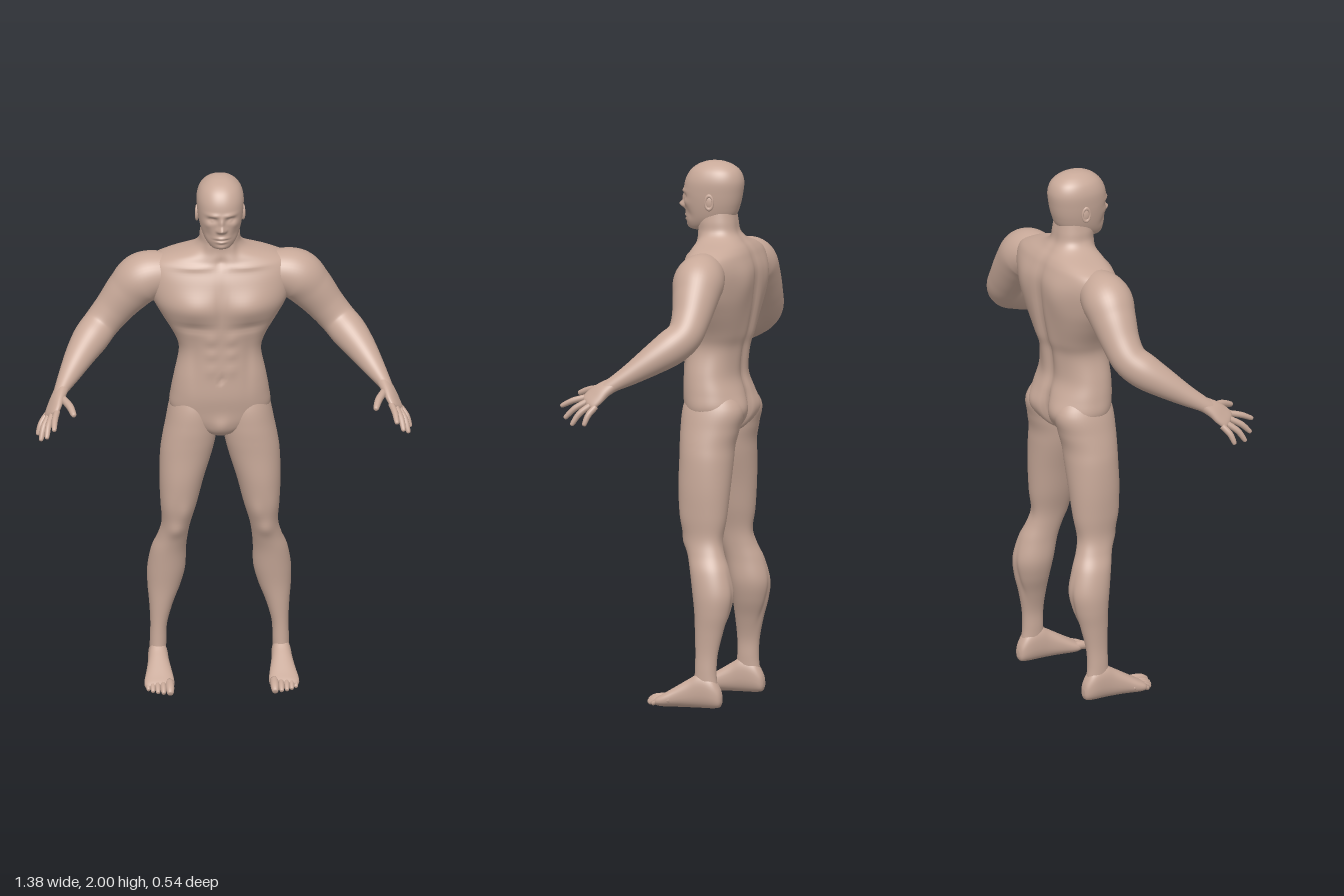
import * as THREE from 'three';

const skin = new THREE.MeshStandardMaterial({ color: 0xc8a999 });
skin.name = 'skin';

// Catmull-Rom interpolation through rows of numbers
function sample(keys, steps) {
  const rows = [], last = keys.length - 1;
  for (let i = 0; i <= last * steps; i++) {
    const k = Math.min(Math.floor(i / steps), last - 1), t = i / steps - k;
    const [a, b, c, d] = [-1, 0, 1, 2].map((o) => keys[Math.min(last, Math.max(0, k + o))]);
    rows.push(b.map((v, j) => v + 0.5 * t * (c[j] - a[j] +
      t * (2 * a[j] - 5 * v + 4 * c[j] - d[j] + t * (3 * (v - c[j]) + d[j] - a[j])))));
  }
  return rows;
}

// Closed smooth surface through rings of points, always wound outwards
function skinRings(rings) {
  const n = rings[0].length, pos = [], idx = [];
  rings.forEach((r) => r.forEach((p) => pos.push(p.x, p.y, p.z)));
  for (let i = 0; i < rings.length - 1; i++) {
    for (let j = 0; j < n; j++) {
      const a = i * n + j, b = i * n + (j + 1) % n;
      idx.push(a, b, a + n, b, b + n, a + n);
    }
  }
  [0, rings.length - 1].forEach((i) => {
    const mid = rings[i].reduce((s, p) => s.add(p), new THREE.Vector3()).divideScalar(n);
    const m = pos.length / 3;
    pos.push(mid.x, mid.y, mid.z);
    for (let j = 0; j < n; j++) {
      const a = i * n + j, b = i * n + (j + 1) % n;
      if (i === 0) idx.push(m, b, a); else idx.push(m, a, b);
    }
  });
  let volume = 0;
  const v = (i) => new THREE.Vector3().fromArray(pos, idx[i] * 3);
  for (let i = 0; i < idx.length; i += 3) volume += v(i).dot(v(i + 1).cross(v(i + 2)));
  if (volume < 0) idx.reverse();
  const g = new THREE.BufferGeometry();
  g.setAttribute('position', new THREE.Float32BufferAttribute(pos, 3));
  g.setIndex(idx);
  g.computeVertexNormals();
  return g;
}

// Rounded cross-section: [cos, sin] pushed towards a box by the power p
function outline(seg, p) {
  const f = (c) => Math.sign(c) * Math.abs(c) ** (2 / p);
  return Array.from({ length: seg }, (_, j) => {
    const a = (j / seg) * Math.PI * 2;
    return [f(Math.cos(a)), f(Math.sin(a))];
  });
}

// Sum of soft muscle bumps [x, y, width, height, amount], mirrored in x
const relief = (bumps, x, y) => bumps.reduce((s, [bx, by, rx, ry, h]) =>
  s + h * Math.exp(-(((Math.abs(x) - bx) / rx) ** 2) - ((y - by) / ry) ** 2), 0);

// Horizontal sections: [y, xMin, xMax, zFront, zBack]
function stack(keys, { seg = 64, steps = 6, p = 2.2, front = [], back = [], side = 1 } = {}) {
  const shape = outline(seg, p);
  return skinRings(sample(keys, steps).map(([y, x0, x1, zf, zb]) => shape.map(([c, s]) => {
    const x = (x0 + x1) / 2 + c * (x1 - x0) / 2;
    const w = Math.min(1, 2 * Math.abs(s));
    const push = s > 0 ? relief(front, x, y) : -relief(back, x, y);
    return new THREE.Vector3(x * side, y, (zf + zb) / 2 + s * (zf - zb) / 2 + push * w);
  })));
}

// Limb along a path: [x, y, z, radius along ref, other radius]
function limb(keys, { ref = [0, 0, 1], seg = 28, steps = 5, p = 2, side = 1 } = {}) {
  const rows = sample(keys.map((k) => (k.length < 5 ? [...k, k[3]] : k)), steps);
  const at = (i) => new THREE.Vector3(...rows[Math.min(rows.length - 1, Math.max(0, i))].slice(0, 3));
  const shape = outline(seg, p);
  return skinRings(rows.map(([, , , r, q], i) => {
    const t = at(i + 1).sub(at(i - 1)).normalize();
    const u = new THREE.Vector3(...ref);
    u.addScaledVector(t, -u.dot(t)).normalize();
    const v = t.clone().cross(u);
    return shape.map(([c, s]) => {
      const pt = at(i).addScaledVector(u, c * r).addScaledVector(v, s * q);
      pt.x *= side;
      return pt;
    });
  }));
}

function add(parent, name, geometry) {
  const m = new THREE.Mesh(geometry, skin);
  m.name = name;
  parent.add(m);
  return m;
}

// Finger or toe from a base to a tip, bent through a middle point
function digit(base, mid, tip, r, side) {
  const near = tip.map((v, i) => v + (mid[i] - v) * 0.15);
  return limb([[...base, r], [...mid, r], [...near, r * 0.75], [...tip, r * 0.25]],
    { ref: [1, 0.1, 0], seg: 14, steps: 5, side });
}

const symmetric = (rows) => rows.map(([y, w, zf, zb]) => [y, -w, w, zf, zb]);

function makeTorso() {
  return stack(symmetric([
    [0.975, 0.025, -0.07, -0.13], [1.0, 0.075, -0.03, -0.19], [1.04, 0.15, -0.015, -0.225],
    [1.09, 0.184, -0.008, -0.238], [1.15, 0.18, 0, -0.23], [1.22, 0.168, 0, -0.212],
    [1.31, 0.151, -0.002, -0.22], [1.37, 0.167, 0, -0.24], [1.45, 0.213, 0.01, -0.257],
    [1.52, 0.25, 0.013, -0.265], [1.6, 0.268, -0.005, -0.268], [1.655, 0.262, -0.03, -0.253],
    [1.685, 0.205, -0.042, -0.238], [1.712, 0.115, -0.05, -0.215], [1.74, 0.08, -0.05, -0.195],
    [1.78, 0.073, -0.045, -0.188], [1.83, 0.065, -0.05, -0.18],
  ]), {
    seg: 112, p: 2.3,
    front: [
      [0.1, 1.515, 0.085, 0.055, 0.02], [0, 1.51, 0.018, 0.09, -0.008], [0.1, 1.43, 0.07, 0.016, -0.008],
      [0.037, 1.385, 0.024, 0.024, 0.006], [0.037, 1.325, 0.024, 0.024, 0.006],
      [0.037, 1.265, 0.024, 0.024, 0.005], [0, 1.225, 0.008, 0.012, -0.01],
      [0.1, 1.3, 0.02, 0.12, -0.005], [0.1, 1.66, 0.07, 0.011, 0.006], [0, 1.675, 0.018, 0.018, -0.01],
      [0.045, 1.735, 0.014, 0.04, 0.006], [0, 1.03, 0.03, 0.035, 0.012],
    ],
    back: [
      [0, 1.42, 0.022, 0.24, -0.015], [0.11, 1.56, 0.06, 0.075, 0.01], [0.05, 1.3, 0.03, 0.1, 0.005],
      [0.09, 1.085, 0.06, 0.06, 0.02], [0, 1.06, 0.018, 0.08, -0.035],
    ],
  });
}

function makeHead() {
  return stack(symmetric([
    [1.743, 0.025, -0.02, -0.07], [1.75, 0.04, -0.006, -0.1], [1.768, 0.056, 0.002, -0.145],
    [1.795, 0.069, 0.007, -0.18], [1.835, 0.079, 0.01, -0.197], [1.88, 0.085, 0.014, -0.207],
    [1.925, 0.086, 0.008, -0.211], [1.96, 0.075, -0.01, -0.199], [1.983, 0.054, -0.037, -0.173],
    [1.996, 0.029, -0.07, -0.14], [2.0, 0.006, -0.1, -0.112],
  ]), {
    seg: 120, steps: 11, p: 2.2,
    front: [
      [0, 1.832, 0.011, 0.012, 0.025], [0, 1.857, 0.009, 0.02, 0.012], [0.012, 1.826, 0.008, 0.008, 0.008],
      [0.034, 1.868, 0.017, 0.01, -0.012], [0.034, 1.866, 0.009, 0.006, 0.006],
      [0.03, 1.887, 0.025, 0.008, 0.006], [0, 1.795, 0.022, 0.006, 0.007],
      [0, 1.779, 0.018, 0.006, 0.007], [0, 1.787, 0.022, 0.003, -0.004],
      [0, 1.757, 0.02, 0.011, 0.006], [0.053, 1.845, 0.015, 0.014, 0.005], [0.05, 1.803, 0.014, 0.02, -0.006],
    ],
  });
}

function makeLeg(side) {
  return stack([
    [1.2, 0.04, 0.14, -0.05, -0.17], [1.1, 0.012, 0.182, -0.018, -0.243], [1.02, 0.01, 0.2, -0.012, -0.232],
    [0.96, 0.016, 0.212, -0.013, -0.218], [0.9, 0.03, 0.22, -0.015, -0.215], [0.8, 0.06, 0.223, -0.016, -0.21],
    [0.7, 0.085, 0.219, -0.026, -0.202], [0.62, 0.108, 0.214, -0.044, -0.193],
    [0.56, 0.118, 0.227, -0.062, -0.203], [0.5, 0.123, 0.25, -0.077, -0.225], [0.42, 0.125, 0.264, -0.09, -0.243],
    [0.35, 0.143, 0.264, -0.1, -0.233], [0.28, 0.17, 0.258, -0.105, -0.212], [0.2, 0.192, 0.254, -0.109, -0.194],
    [0.13, 0.195, 0.256, -0.108, -0.19], [0.07, 0.198, 0.256, -0.105, -0.195], [0.03, 0.205, 0.25, -0.12, -0.19],
  ], {
    seg: 56, p: 2.1, side,
    front: [[0.165, 0.605, 0.03, 0.03, 0.008], [0.13, 0.68, 0.025, 0.04, 0.006], [0.2, 0.7, 0.025, 0.05, 0.004]],
    back: [[0.17, 0.6, 0.03, 0.05, -0.006], [0.195, 0.36, 0.012, 0.1, -0.006]],
  });
}

// Foot: slices along z as [z, xMin, xMax, yBottom, yTop]
function makeFoot(side) {
  const shape = outline(36, 2.4);
  return skinRings(sample([
    [-0.212, 0.216, 0.238, 0.02, 0.045], [-0.203, 0.203, 0.25, 0.004, 0.075], [-0.175, 0.194, 0.26, 0, 0.115],
    [-0.13, 0.19, 0.263, 0, 0.13], [-0.09, 0.187, 0.267, 0, 0.108], [-0.04, 0.179, 0.276, 0, 0.078],
    [0, 0.174, 0.284, 0, 0.054], [0.025, 0.176, 0.283, 0.002, 0.04], [0.04, 0.186, 0.27, 0.008, 0.03],
  ], 5).map(([z, x0, x1, y0, y1]) => shape.map(([c, s]) => new THREE.Vector3(
    side * ((x0 + x1) / 2 + c * (x1 - x0) / 2), (y0 + y1) / 2 + s * (y1 - y0) / 2, z))));
}

function makeArm(side) {
  return limb([
    [0.12, 1.6, -0.13, 0.05], [0.2, 1.605, -0.135, 0.078], [0.28, 1.585, -0.142, 0.094],
    [0.335, 1.53, -0.148, 0.084], [0.39, 1.46, -0.15, 0.071], [0.435, 1.405, -0.14, 0.066],
    [0.475, 1.365, -0.102, 0.066], [0.515, 1.325, -0.05, 0.056], [0.56, 1.275, 0.02, 0.04],
    [0.595, 1.237, 0.08, 0.029, 0.025], [0.61, 1.215, 0.11, 0.028, 0.02],
  ], { seg: 44, steps: 7, side });
}

function makeHand(side) {
  const hand = new THREE.Group();
  add(hand, 'palm', limb([
    [0.59, 1.242, 0.072, 0.027, 0.023], [0.61, 1.217, 0.112, 0.035, 0.02],
    [0.624, 1.193, 0.138, 0.041, 0.017], [0.636, 1.173, 0.158, 0.038, 0.013], [0.64, 1.166, 0.166, 0.02, 0.006],
  ], { ref: [0.035, -0.03, -0.055], p: 2.3, side }));
  [
    ['indexFinger', [0.615, 1.19, 0.172], [0.626, 1.176, 0.222], [0.631, 1.153, 0.27]],
    ['middleFinger', [0.631, 1.177, 0.163], [0.648, 1.151, 0.207], [0.657, 1.112, 0.246]],
    ['ringFinger', [0.643, 1.165, 0.147], [0.664, 1.135, 0.183], [0.677, 1.09, 0.212]],
    ['littleFinger', [0.65, 1.16, 0.126], [0.672, 1.132, 0.146], [0.686, 1.092, 0.16]],
    ['thumb', [0.598, 1.222, 0.11], [0.57, 1.212, 0.172], [0.554, 1.193, 0.227]],
  ].forEach(([name, base, mid, tip]) => add(hand, name, digit(base, mid, tip, name === 'thumb' ? 0.014 : 0.0115, side)));
  return hand;
}

export function createModel() {
  const body = new THREE.Group();
  body.name = 'figure';
  add(body, 'torso', makeTorso());
  add(body, 'head', makeHead());
  [['left', 1], ['right', -1]].forEach(([label, side]) => {
    add(body, label + 'Arm', makeArm(side));
    const hand = makeHand(side);
    hand.name = label + 'Hand';
    body.add(hand);
    add(body, label + 'Leg', makeLeg(side));
    add(body, label + 'Foot', makeFoot(side));

    // Toes, largest on the inside
    [[0.193, 0.084, 0.016], [0.217, 0.08, 0.011], [0.237, 0.073, 0.0105], [0.255, 0.062, 0.01], [0.271, 0.045, 0.01]]
      .forEach(([x, z, r]) => add(body, label + 'Toe',
        digit([x, 0.028, z - 0.07], [x, 0.024, z - 0.03], [x, 0.011, z], r, side)));

    // Ear: rim around a flat lobe
    const rim = add(body, label + 'EarRim', new THREE.TorusGeometry(0.017, 0.005, 10, 28));
    const lobe = add(body, label + 'EarLobe', new THREE.SphereGeometry(0.017, 20, 14));
    lobe.scale.set(0.9, 1.4, 0.4);
    rim.scale.set(0.85, 1.45, 1);
    [rim, lobe].forEach((m, i) => {
      m.position.set(side * (0.085 - i * 0.003), 1.853, -0.11);
      m.rotation.set(0, side * (Math.PI / 2 + 0.2), 0);
    });
  });
  return body;
}
